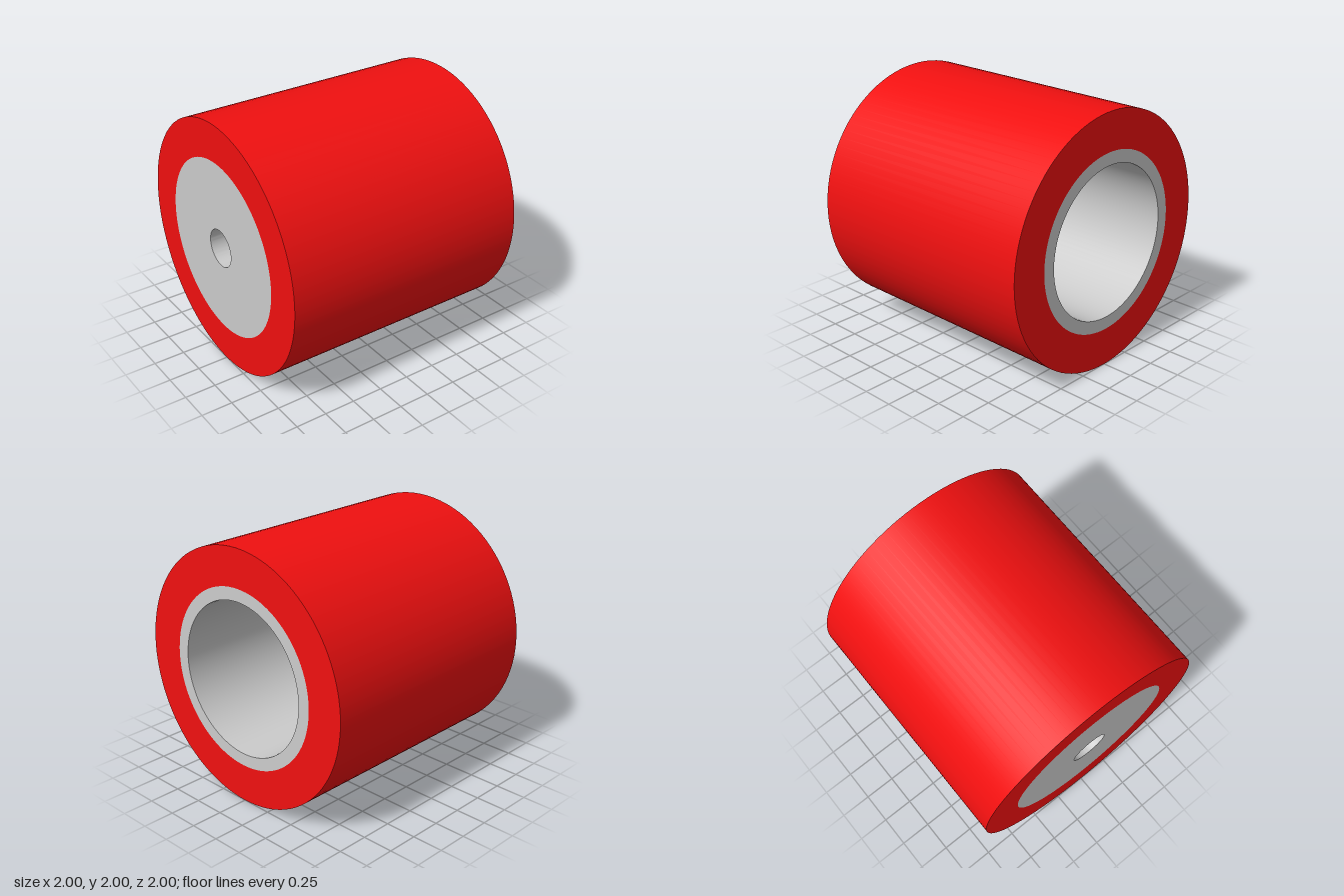
import * as THREE from 'three';
import { toCreasedNormals } from 'three/addons/utils/BufferGeometryUtils.js';

// Closed [radius, axial position] profile, counter-clockwise, turned about the x axis
function turned(name, profile, color) {
  const points = [...profile, profile[0]].map(([r, a]) => new THREE.Vector2(r, a));
  const geometry = new THREE.LatheGeometry(points, 96);
  geometry.rotateZ(-Math.PI / 2);
  const mesh = new THREE.Mesh(
    toCreasedNormals(geometry, Math.PI / 6),
    new THREE.MeshStandardMaterial({ color })
  );
  mesh.name = name;
  mesh.position.y = 1;
  return mesh;
}

export function createModel() {
  const outer = 1, seat = 0.7, bore = 0.6, axle = 0.15;
  const half = 1;
  const floor = -0.5; // bottom of the hub's open pocket

  const group = new THREE.Group();
  group.name = 'roller';

  // Thick coloured sleeve
  group.add(turned('tyre', [
    [seat, -half], [outer, -half], [outer, half], [seat, half],
  ], 0xf01010));

  // Cup-shaped hub: open towards +x, axle hole through its floor
  group.add(turned('hub', [
    [axle, -half], [seat, -half], [seat, half],
    [bore, half], [bore, floor], [axle, floor],
  ], 0xcccccc));

  return group;
}
